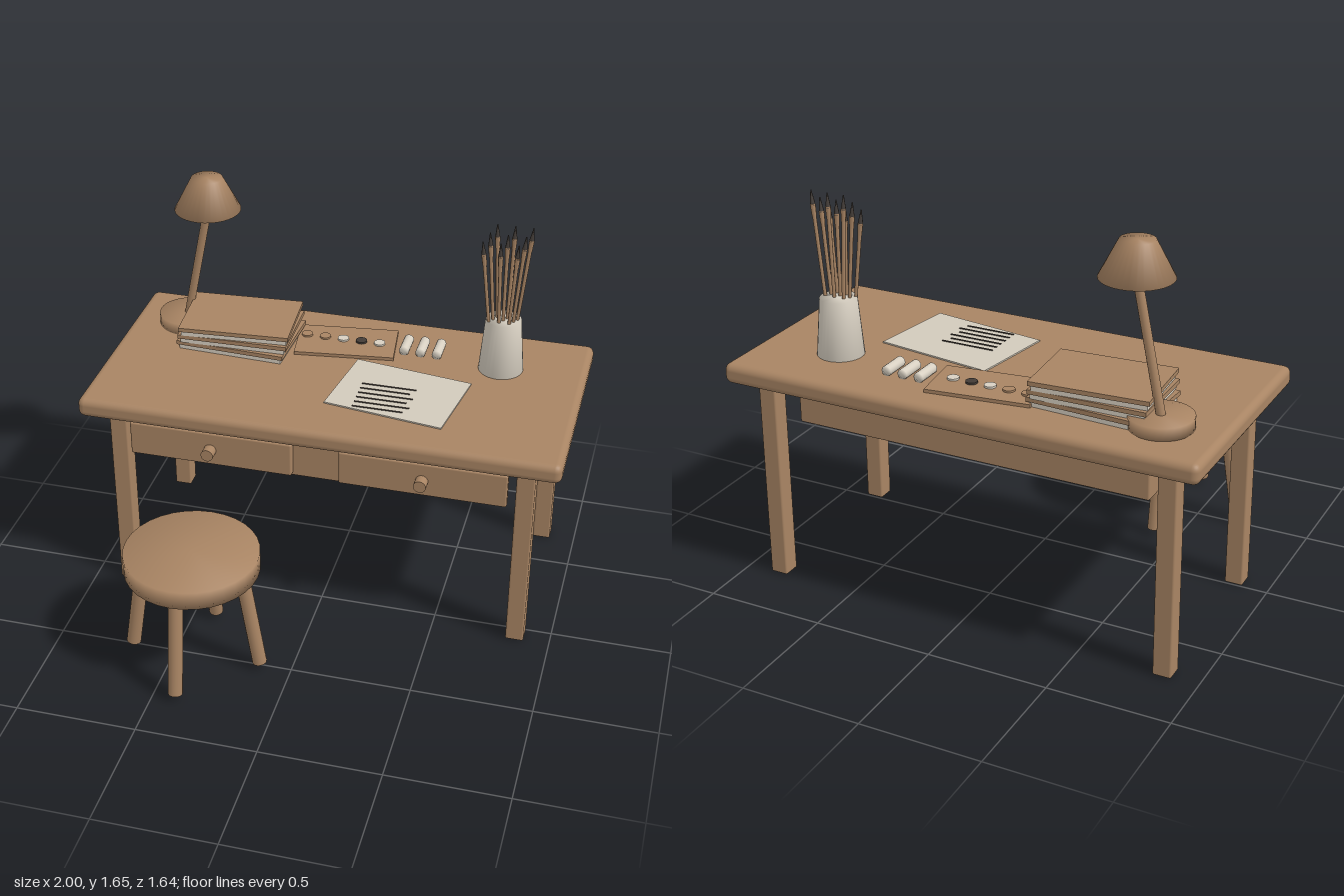
import * as THREE from 'three';
import { RoundedBoxGeometry } from 'three/addons/geometries/RoundedBoxGeometry.js';
import { mergeVertices } from 'three/addons/utils/BufferGeometryUtils.js';

const mat = (name, color) => new THREE.MeshStandardMaterial({ name, color });

export function createModel() {
  const model = new THREE.Group();
  model.name = 'artistDesk';
  const wood = mat('wood', 0xa88463);
  const cream = mat('cream', 0xd8d0c2);
  const paperMat = mat('paper', 0xd2cabb);
  const dark = mat('charcoal', 0x423b36);

  const add = (name, geo, material, x, y, z, parent = model) => {
    const m = new THREE.Mesh(geo, material);
    m.name = name;
    m.position.set(x, y, z);
    parent.add(m);
    return m;
  };
  const group = (name, x, y, z, turn = 0) => {
    const g = new THREE.Group();
    g.name = name;
    g.position.set(x, y, z);
    g.rotation.y = turn;
    model.add(g);
    return g;
  };
  const rounded = (w, h, d, r) => new RoundedBoxGeometry(w, h, d, 3, r);
  // capped cylinder whose rim is shaded smoothly
  const softCylinder = (rTop, rBottom, h, sides = 32) => {
    const g = new THREE.CylinderGeometry(rTop, rBottom, h, sides);
    g.deleteAttribute('normal');
    g.deleteAttribute('uv');
    const s = mergeVertices(g, 1e-4);
    s.computeVertexNormals();
    return s;
  };
  // straight rod between two points
  const rod = (name, a, b, rTop, rBottom, material, parent = model, sides = 16) => {
    const dir = b.clone().sub(a);
    const mid = a.clone().add(b).multiplyScalar(0.5);
    const m = add(name, new THREE.CylinderGeometry(rTop, rBottom, dir.length(), sides),
      material, mid.x, mid.y, mid.z, parent);
    m.quaternion.setFromUnitVectors(new THREE.Vector3(0, 1, 0), dir.normalize());
    return m;
  };
  const V = (x, y, z) => new THREE.Vector3(x, y, z);
  const top = 0.945;

  // Desk
  add('deskTop', rounded(2, 0.085, 0.983, 0.03), wood, 0, top - 0.0425, -0.333);
  add('deskBody', rounded(1.51, 0.19, 0.76, 0.008), wood, 0, 0.775, -0.29);
  for (const x of [-0.854, 0.854])
    for (const z of [0.043, -0.708])
      add('deskLeg', rounded(0.076, 0.87, 0.076, 0.008), wood, x, 0.435, z);
  for (const s of [-1, 1]) {
    add('drawer', rounded(0.69, 0.15, 0.035, 0.008), wood, s * 0.443, 0.77, 0.103);
    const knob = add('drawerKnob', new THREE.CylinderGeometry(0.026, 0.026, 0.046, 20),
      wood, s * 0.443, 0.766, 0.143);
    knob.rotation.x = Math.PI / 2;
  }

  // Stool
  const stool = group('stool', -0.403, 0, 0.515);
  add('stoolSeat', softCylinder(0.275, 0.275, 0.08), wood, 0, 0.505, 0, stool);
  for (let i = 0; i < 4; i++) {
    const c = Math.round(Math.cos(i * Math.PI / 2)), s = Math.round(Math.sin(i * Math.PI / 2));
    rod('stoolLeg', V(c * 0.273, 0.03, s * 0.273), V(c * 0.205, 0.48, s * 0.205),
      0.03, 0.03, wood, stool);
  }

  // Lamp
  add('lampBase', softCylinder(0.125, 0.125, 0.05), wood, -0.757, top + 0.025, -0.582);
  rod('lampPole', V(-0.757, 0.98, -0.582), V(-0.645, 1.53, -0.582), 0.018, 0.018, wood);
  add('lampShade', softCylinder(0.067, 0.141, 0.142), wood, -0.649, 1.575, -0.582);

  // Stacked books: page block with a cover on top
  const turns = [-0.05, 0.02, 0.067];
  turns.forEach((turn, i) => {
    const book = group('book', -0.487, top + i * 0.039, -0.495, turn);
    add('pages', new THREE.BoxGeometry(0.455, 0.021, 0.315), cream, 0, 0.0105, 0, book);
    add('cover', new THREE.BoxGeometry(0.475, 0.018, 0.33), wood, 0, 0.03, 0, book);
  });

  // Paint palette with five dabs
  const palette = group('palette', -0.037, top, -0.564, 0.126);
  add('paletteBoard', new THREE.BoxGeometry(0.426, 0.014, 0.237), wood, 0, 0.007, 0, palette);
  [wood, wood, cream, dark, cream].forEach((m, i) =>
    add('paintDab', new THREE.CylinderGeometry(0.024, 0.024, 0.009, 20), m,
      -0.214 + i * 0.08, top + 0.0175, -0.575));

  // Paint tubes
  for (const x of [0.222, 0.293, 0.364]) {
    const tube = add('paintTube', softCylinder(0.021, 0.021, 0.108, 16), cream, x, top + 0.02, -0.585);
    tube.rotation.x = Math.PI / 2;
  }

  // Sheet of paper with ruled strokes
  const sheet = group('paper', 0.267, top, -0.219, -0.148);
  add('sheet', new THREE.BoxGeometry(0.508, 0.006, 0.372), paperMat, 0, 0.003, 0, sheet);
  for (let i = 0; i < 6; i++) {
    const w = i % 2 ? 0.21 : 0.23;
    add('stroke', new THREE.BoxGeometry(w, 0.003, 0.007), dark, 0.107 + w / 2, top + 0.0075, -0.252 + i * 0.036);
  }

  // Brush pot and fanned brushes
  add('brushPot', softCylinder(0.075, 0.095, 0.238), cream, 0.64, top + 0.12, -0.528);
  for (let i = 0; i < 9; i++) {
    const k = i - 4, row = i % 3;
    const z = -0.489 - row * 0.022;
    const a = V(0.64 + k * 0.0125, 1.12, z - 0.002);
    const tip = V(0.64 + k * 0.0245, 1.545 + row * 0.032, z);
    const at = d => tip.clone().addScaledVector(a.clone().sub(tip).normalize(), d);
    const brush = group('brush', 0, 0, 0);
    rod('brushHandle', a, at(0.1), 0.008, 0.007, wood, brush, 8);
    rod('brushFerrule', at(0.105), at(0.055), 0.011, 0.009, wood, brush, 8);
    rod('brushBristles', at(0.06), tip, 0.002, 0.011, dark, brush, 8);
  }
  return model;
}
